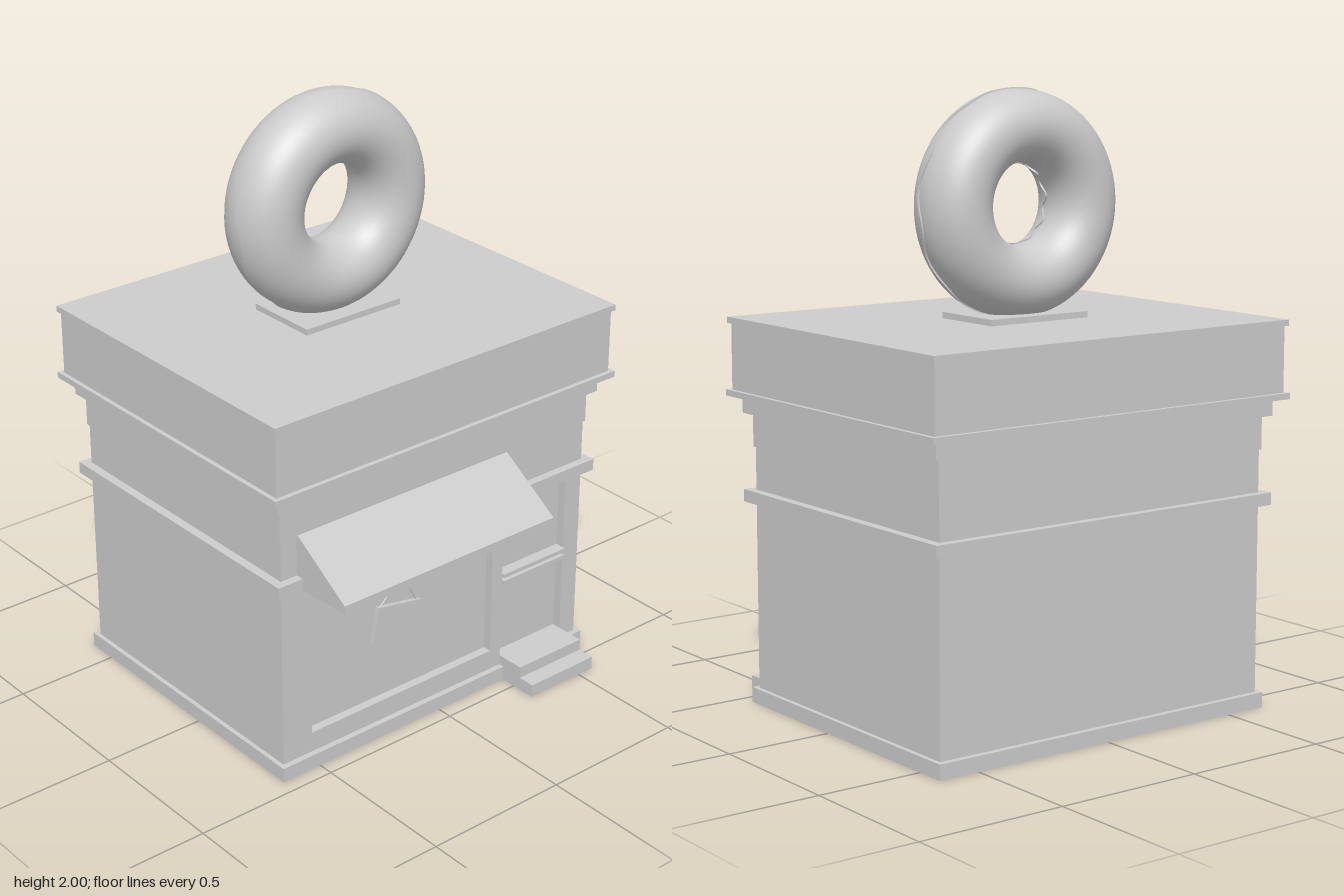
import * as THREE from 'three';
import { ParametricGeometry } from 'three/addons/geometries/ParametricGeometry.js';

const mat = new THREE.MeshStandardMaterial({ color: 0xcccccc });
const thinMat = new THREE.MeshStandardMaterial({ color: 0xcccccc, side: THREE.DoubleSide });
const CZ = -0.077; // middle of the building in z

export function createModel() {
  const model = new THREE.Group();
  model.name = 'donutShop';

  const add = (name, geometry, parent = model, material = mat) => {
    const mesh = new THREE.Mesh(geometry, material);
    mesh.name = name;
    parent.add(mesh);
    return mesh;
  };
  // Box given by its limits on each axis
  const box = (name, x0, x1, y0, y1, z0, z1, parent = model) => {
    const m = add(name, new THREE.BoxGeometry(x1 - x0, y1 - y0, z1 - z0), parent);
    m.position.set((x0 + x1) / 2, (y0 + y1) / 2, (z0 + z1) / 2);
    return m;
  };

  // Stacked storeys and mouldings: name, bottom, top, half width, half depth
  const layers = [
    ['plinth', 0, 0.05, 0.645, 0.525],
    ['lowerMoulding', 0.67, 0.71, 0.66, 0.533],
    ['upperWall', 0.71, 0.85, 0.63, 0.505],
    ['upperWallBand', 0.85, 0.96, 0.636, 0.51],
    ['upperMoulding', 0.96, 1.015, 0.66, 0.533],
    ['cornice', 1.015, 1.035, 0.698, 0.573],
    ['parapet', 1.035, 1.25, 0.683, 0.557],
    ['roofCap', 1.25, 1.27, 0.692, 0.567],
  ];
  for (const [name, y0, y1, hx, hz] of layers) {
    box(name, -hx - 0.002, hx - 0.002, y0, y1, CZ - hz, CZ + hz);
  }

  // Ground floor: core block, then a front wall cut out for window and door
  box('lowerWall', -0.632, 0.628, 0.05, 0.67, CZ - 0.505, 0.398);
  const rect = (Type, x0, x1, y0, y1) => new Type([
    new THREE.Vector2(x0, y0), new THREE.Vector2(x1, y0),
    new THREE.Vector2(x1, y1), new THREE.Vector2(x0, y1)]);
  const front = rect(THREE.Shape, -0.632, 0.628, 0.05, 0.67);
  front.holes.push(rect(THREE.Path, -0.517, 0.24, 0.12, 0.635));
  front.holes.push(rect(THREE.Path, 0.285, 0.56, 0.051, 0.669));
  add('frontWall', new THREE.ExtrudeGeometry(front, { depth: 0.03, bevelEnabled: false }))
    .position.z = 0.398;

  // Door rails and steps
  for (const y of [0.36, 0.385]) box('doorRail', 0.285, 0.56, y, y + 0.014, 0.398, 0.438);
  box('lowerStep', 0.285, 0.56, 0, 0.045, 0.42, 0.588);
  box('upperStep', 0.285, 0.56, 0.045, 0.085, 0.398, 0.528);

  // Sloping awning, extruded sideways from its side profile (z, y)
  const profile = new THREE.Shape([[0.42, 0.67], [0.655, 0.677], [0.655, 0.705], [0.428, 0.853], [0.42, 0.853]]
    .map(([z, y]) => new THREE.Vector2(-z, y)));
  const awning = add('awning', new THREE.ExtrudeGeometry(profile, { depth: 0.855, bevelEnabled: false }));
  awning.rotation.y = Math.PI / 2;
  awning.position.x = -0.57;

  // Crooked sign hanging from a nail
  const sign = new THREE.Group();
  sign.name = 'hangingSign';
  model.add(sign);
  const board = box('signBoard', -0.249, -0.071, 0.328, 0.447, 0.404, 0.419, sign);
  board.rotation.z = -0.18;
  const nail = new THREE.Vector3(-0.135, 0.546, 0.411);
  for (const [x, y] of [[-0.225, 0.458], [-0.075, 0.432]]) {
    const path = new THREE.LineCurve3(nail, new THREE.Vector3(x, y, 0.411));
    add('signString', new THREE.TubeGeometry(path, 1, 0.003, 6), sign);
  }
  const nailMesh = add('nail', new THREE.CylinderGeometry(0.01, 0.01, 0.024, 16), sign);
  nailMesh.rotation.x = Math.PI / 2;
  nailMesh.position.set(nail.x, nail.y, 0.41);
  add('nailRing', new THREE.TorusGeometry(0.016, 0.004, 8, 20), sign).position.copy(nail);

  // Roof plate and giant donut
  box('donutPlate', -0.22, 0.162, 1.27, 1.29, -0.215, 0.046);
  const donut = new THREE.Group();
  donut.name = 'donut';
  donut.position.set(-0.03, 1.634, -0.093);
  model.add(donut);
  const R = 0.246;
  const dough = new THREE.TorusGeometry(R, 0.116, 40, 72);
  dough.scale(1, 1, 0.13 / 0.116);
  add('dough', dough, donut);

  // Icing covers the front half, with a wavy rim tucked into the dough
  const icing = new ParametricGeometry((u, v, target) => {
    const a = u * Math.PI * 2;
    const rim = 0.17 + 0.09 * Math.sin(10 * a);
    const t = rim + Math.min(1, Math.max(0, (v - 0.04) / 0.92)) * (Math.PI - 2 * rim);
    const tucked = v < 0.02 || v > 0.98;
    const r = R + (tucked ? 0.112 : 0.121) * Math.cos(t);
    target.set(r * Math.cos(a), r * Math.sin(a), (tucked ? 0.126 : 0.132) * Math.sin(t));
  }, 120, 26);
  add('icing', icing, donut, thinMat);

  return model;
}
